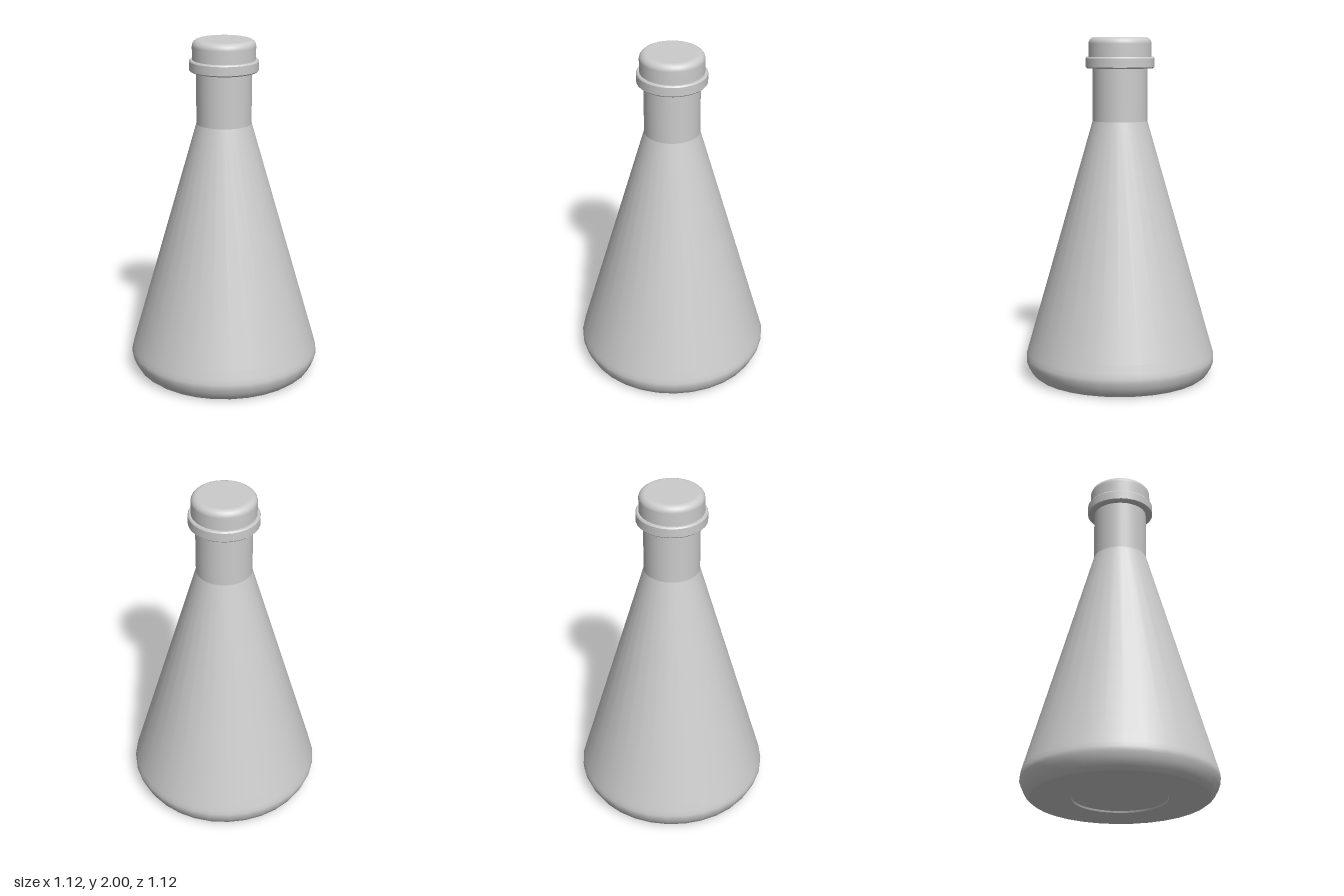
import * as THREE from 'three';

const SIDES = 32;
const material = new THREE.MeshStandardMaterial({ color: 0xcccccc });

// Turns profile runs of [radius, height], listed from bottom to top.
// Each run is smooth within itself; the joins between runs stay sharp.
function turned(name, runs) {
  const group = new THREE.Group();
  group.name = name;
  runs.forEach((run, i) => {
    const points = run.map(([r, y]) => new THREE.Vector2(r, y));
    const mesh = new THREE.Mesh(new THREE.LatheGeometry(points, SIDES), material);
    mesh.name = `${name}Surface${i + 1}`;
    group.add(mesh);
  });
  return group;
}

// Points of a quarter round, from the side wall up to the flat top
function roundedShoulder(radius, top, bevel, steps = 6) {
  return Array.from({ length: steps + 1 }, (_, i) => {
    const a = (i / steps) * Math.PI / 2;
    return [radius - bevel * (1 - Math.cos(a)), top - bevel * (1 - Math.sin(a))];
  });
}

export function createModel() {
  const model = new THREE.Group();
  model.name = 'conicalFlask';

  // Underside with a shallow round recess
  model.add(turned('base', [
    [[0, 0.01], [0.268, 0.01]],
    [[0.268, 0.01], [0.272, 0]],
    [[0.272, 0], [0.505, 0]],
  ]));

  // Rounded foot running into the conical wall
  model.add(turned('body', [
    [[0.505, 0], [0.53, 0.02], [0.549, 0.055], [0.562, 0.09], [0.562, 0.115], [0.554, 0.145], [0.54, 0.193], [0.16, 1.515]],
  ]));

  // Straight neck
  model.add(turned('neck', [[[0.16, 1.515], [0.16, 1.83]]]));

  // Collar around the mouth, with small bevels
  model.add(turned('collar', [
    [[0.155, 1.82], [0.193, 1.82]],
    [[0.193, 1.82], [0.2, 1.827]],
    [[0.2, 1.827], [0.2, 1.878]],
    [[0.2, 1.878], [0.194, 1.886]],
    [[0.194, 1.886], [0.17, 1.886]],
  ]));

  // Stopper with a rounded top edge
  model.add(turned('stopper', [
    [[0.183, 1.88], ...roundedShoulder(0.183, 2, 0.038), [0, 2]],
  ]));

  return model;
}
